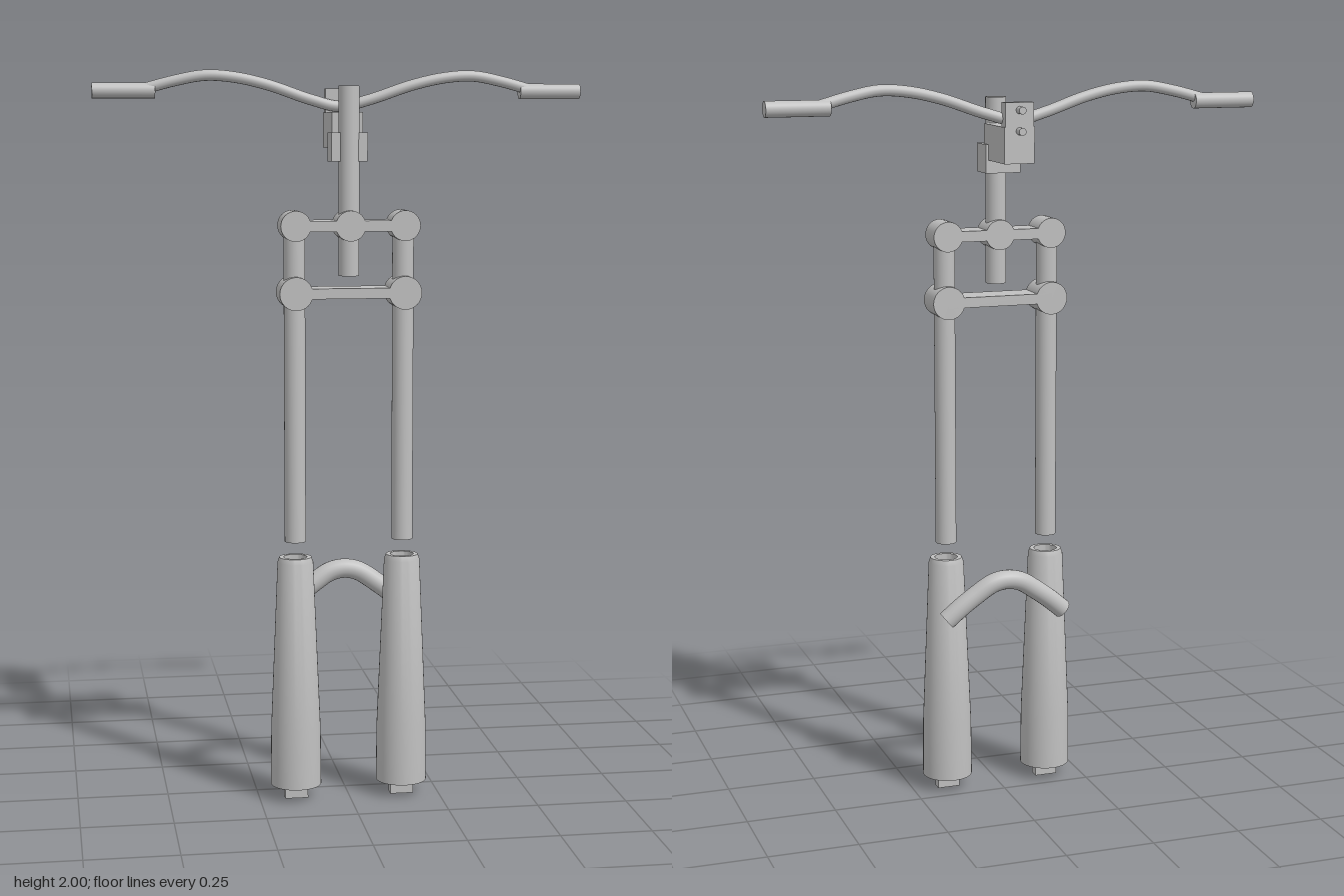
import * as THREE from 'three';
import { toCreasedNormals } from 'three/addons/utils/BufferGeometryUtils.js';

const metal = new THREE.MeshStandardMaterial({ color: 0xc0c0c0 });
metal.name = 'lightGrey';

const FORK_Z = 0.075; // depth of the steering axis and legs
const LEG_X = 0.148;

export function createModel() {
  const model = new THREE.Group();
  model.name = 'bicycleFork';

  function add(name, geometry, x = 0, y = 0, z = 0) {
    const mesh = new THREE.Mesh(geometry, metal);
    mesh.name = name;
    mesh.position.set(x, y, z);
    model.add(mesh);
    return mesh;
  }
  function box(name, x0, x1, y0, y1, z0, z1) {
    return add(name, new THREE.BoxGeometry(x1 - x0, y1 - y0, z1 - z0),
      (x0 + x1) / 2, (y0 + y1) / 2, (z0 + z1) / 2);
  }
  function upright(name, r, x, y0, y1, z) {
    return add(name, new THREE.CylinderGeometry(r, r, y1 - y0, 32), x, (y0 + y1) / 2, z);
  }
  function alongZ(name, r, x, y, z0, z1) {
    const g = new THREE.CylinderGeometry(r, r, z1 - z0, 32).rotateX(Math.PI / 2);
    return add(name, g, x, y, (z0 + z1) / 2);
  }
  // Tube through one half of a path, mirrored in x, with closed ends
  function mirroredTube(name, half, r) {
    const right = half.slice(1).reverse().map(([x, y, z]) => [-x, y, z]);
    const curve = new THREE.CatmullRomCurve3(
      [...right, ...half].map(p => new THREE.Vector3(...p)));
    add(name, new THREE.TubeGeometry(curve, 80, r, 20));
    for (const t of [0, 1]) {
      const end = curve.getPoint(t);
      const cap = add(name + 'End', new THREE.CircleGeometry(r, 20), end.x, end.y, end.z);
      cap.lookAt(end.clone().addScaledVector(curve.getTangent(t), t ? 1 : -1));
    }
  }

  // Lower legs: tapered sleeves with a recessed mouth
  const profile = [[0, 0.04], [0.07, 0.04], [0.0685, 0.2], [0.049, 0.668], [0.044, 0.682],
    [0.032, 0.682], [0.032, 0.62], [0, 0.62]].map(p => new THREE.Vector2(...p));
  const legGeometry = toCreasedNormals(new THREE.LatheGeometry(profile, 40), 0.5);

  for (const s of [-1, 1]) {
    const x = s * LEG_X;
    add('lowerLeg', legGeometry, x, 0, FORK_Z);
    box('dropout', x - 0.032, x + 0.032, 0, 0.045, FORK_Z - 0.014, FORK_Z + 0.014);
    upright('stanchion', 0.029, x, 0.725, 1.585, FORK_Z);
    alongZ('upperClamp', 0.041, x, 1.585, FORK_Z - 0.04, FORK_Z + 0.04);
    alongZ('lowerClamp', 0.045, x, 1.405, FORK_Z - 0.045, FORK_Z + 0.045);

    // Handlebar grip
    const grip = new THREE.CylinderGeometry(0.021, 0.021, 0.17, 28).rotateZ(Math.PI / 2);
    add('grip', grip, s * 0.59, 1.944, -0.097);
  }

  // Crowns joining the two stanchions
  box('upperCrown', -LEG_X, LEG_X, 1.57, 1.599, FORK_Z - 0.04, FORK_Z + 0.04);
  alongZ('steererClamp', 0.041, 0, 1.585, FORK_Z - 0.04, FORK_Z + 0.04);
  box('lowerCrown', -LEG_X, LEG_X, 1.391, 1.419, FORK_Z - 0.045, FORK_Z + 0.045);

  // Steering tube
  upright('steerer', 0.028, 0, 1.45, 1.955, FORK_Z);

  // Stem with its collar, bar clamp and bolts
  box('stemCollar', -0.049, 0.049, 1.755, 1.832, 0.01, 0.088);
  box('stem', -0.042, 0.042, 1.79, 1.886, -0.12, 0.048);
  box('barClamp', -0.04, 0.04, 1.886, 1.95, -0.12, -0.09);
  for (const y of [1.875, 1.93]) alongZ('clampBolt', 0.01, 0, y, -0.145, -0.115);

  // Arch behind the lower legs
  mirroredTube('archBrace', [[0, 0.626, -0.015], [0.04, 0.618, -0.014],
    [0.09, 0.586, -0.01], [0.13, 0.556, -0.007], [0.172, 0.52, -0.003]], 0.027);

  // Swept handlebar
  mirroredTube('handlebar', [[0, 1.902, -0.087], [0.08, 1.92, -0.083],
    [0.2, 1.96, -0.08], [0.29, 1.98, -0.081], [0.37, 1.985, -0.084],
    [0.45, 1.971, -0.09], [0.53, 1.95, -0.096]], 0.015);

  return model;
}
